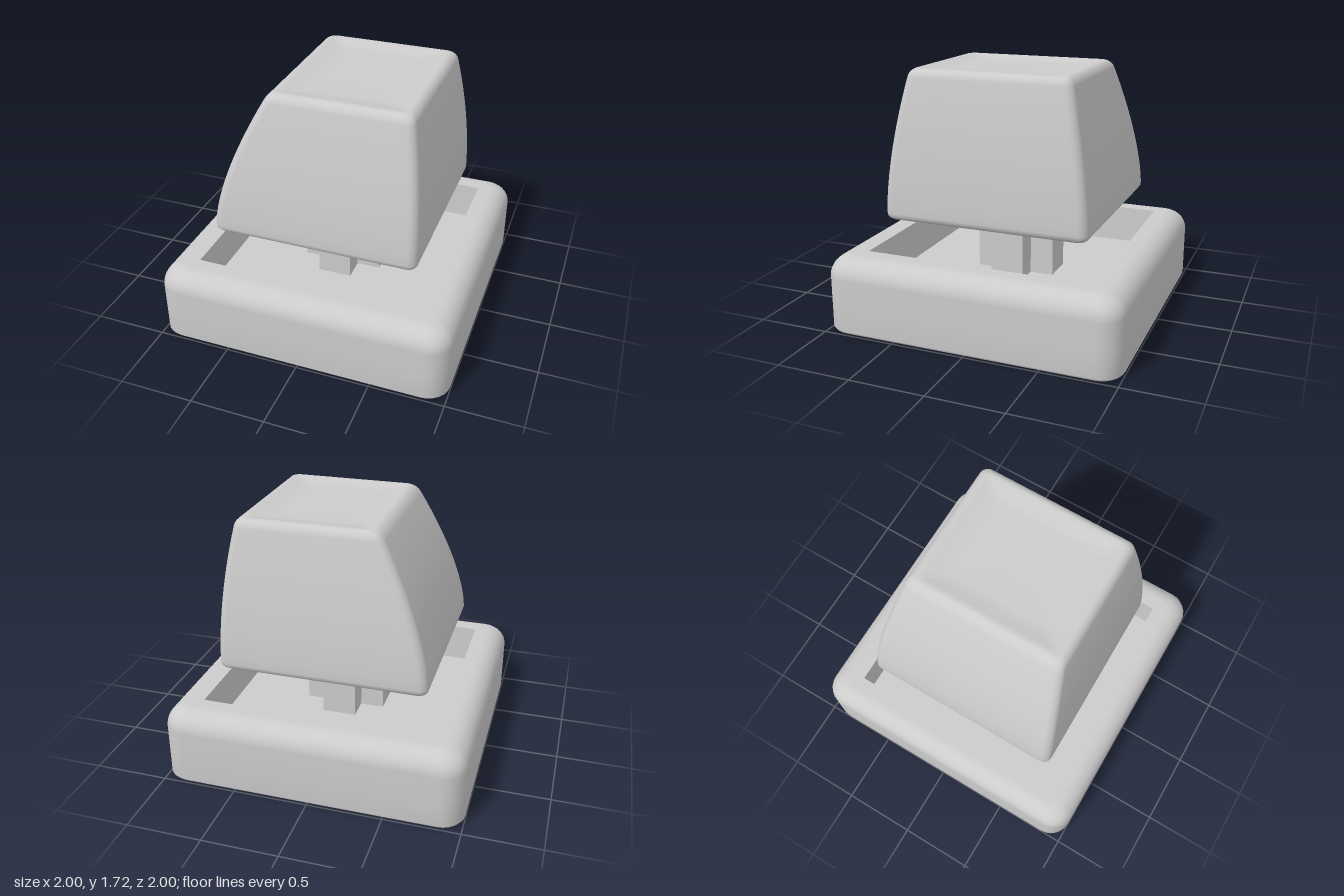
import * as THREE from 'three';

const material = (extra = {}) => new THREE.MeshStandardMaterial({ color: 0xcccccc, ...extra });

function addMesh(group, name, geometry, mat) {
  const mesh = new THREE.Mesh(geometry, mat);
  mesh.name = name;
  group.add(mesh);
}

// Rounded rectangle at height y, counterclockwise seen from above
function ring(x0, x1, z0, z1, r, y, arc = 6, side = 5) {
  const corners = [[x1 - r, z0 + r], [x0 + r, z0 + r], [x0 + r, z1 - r], [x1 - r, z1 - r]];
  const points = [];
  corners.forEach(([cx, cz], k) => {
    for (let i = 0; i <= arc; i++) {
      const a = (k + i / arc) * Math.PI / 2;
      points.push(new THREE.Vector3(cx + r * Math.cos(a), y, cz - r * Math.sin(a)));
    }
    const last = points[points.length - 1];
    const [nx, nz] = corners[(k + 1) % 4];
    const a = (k + 1) * Math.PI / 2;
    const next = new THREE.Vector3(nx + r * Math.cos(a), y, nz - r * Math.sin(a));
    for (let i = 1; i < side; i++) points.push(last.clone().lerp(next, i / side));
  });
  return points;
}

const squareRing = (half, r, y) => ring(-half, half, -half, half, r, y);

// Skin over successive rings, optionally closed at both ends
function loft(rings, capped = false) {
  const n = rings[0].length;
  const points = rings.flat();
  const index = [];
  for (let j = 0; j < rings.length - 1; j++) {
    for (let i = 0; i < n; i++) {
      const a = j * n + i, b = j * n + (i + 1) % n;
      index.push(a, b, b + n, a, b + n, a + n);
    }
  }
  if (capped) {
    const middle = (list) => list.reduce((s, p) => s.add(p), new THREE.Vector3()).divideScalar(n);
    const bottom = points.push(middle(rings[0])) - 1;
    const top = points.push(middle(rings[rings.length - 1])) - 1;
    const start = (rings.length - 1) * n;
    for (let i = 0; i < n; i++) {
      const k = (i + 1) % n;
      index.push(k, i, bottom, start + i, start + k, top);
    }
  }
  const geometry = new THREE.BufferGeometry().setFromPoints(points);
  geometry.setIndex(index);
  geometry.computeVertexNormals();
  return geometry;
}

// Plus-shaped outline shared by the stem and the hole under it
function plusPoints(l = 0.275, w = 0.115) {
  return [[w, l], [-w, l], [-w, w], [-l, w], [-l, -w], [-w, -w],
    [-w, -l], [w, -l], [w, -w], [l, -w], [l, w], [w, w]].map(([x, y]) => new THREE.Vector2(x, y));
}

function extrudeUp(shape, y, height) {
  const geometry = new THREE.ExtrudeGeometry(shape, { depth: height, bevelEnabled: false });
  return geometry.rotateX(-Math.PI / 2).translate(0, y, 0);
}

// Keycap: walls curve inwards by a different amount on each side
function keycapGeometry() {
  const y0 = 0.72, y1 = 1.715;
  const section = (y, inset, r) => {
    const t = Math.max(0, (y - 0.77) / (1.66 - 0.77));
    const left = -0.695 + 0.33 * t ** 1.5 + inset;
    const right = 0.695 - 0.087 * t ** 2 - inset;
    const depth = 0.695 - 0.138 * t ** 1.5 - inset;
    return ring(left, right, -depth, depth, r, y);
  };
  const rings = [section(y0, 0.14, 0.03), section(y0, 0.05, 0.03)];
  for (let i = 1; i <= 4; i++) { // rounded bottom edge
    const a = i / 4 * Math.PI / 2;
    rings.push(section(y0 + 0.05 * (1 - Math.cos(a)), 0.05 * (1 - Math.sin(a)), 0.04 + 0.005 * i));
  }
  for (let i = 1; i <= 14; i++) rings.push(section(0.77 + 0.89 * i / 14, 0, 0.06));
  for (let i = 1; i <= 5; i++) { // rounded top edge
    const a = i / 5 * Math.PI / 2;
    rings.push(section(1.66 + 0.055 * Math.sin(a), 0.045 * (1 - Math.cos(a)), 0.06 - 0.004 * i));
  }
  // shallow dish
  rings.push(section(y1 - 0.004, 0.075, 0.04), section(y1 - 0.018, 0.13, 0.04), section(y1 - 0.025, 0.2, 0.04));
  return loft(rings, true);
}

export function createModel() {
  const model = new THREE.Group();
  model.name = 'keycapOnSwitchBase';

  // Thin outer shell of the base, open below
  const shell = [squareRing(0.97, 0.13, 0), squareRing(0.985, 0.14, 0.006),
    squareRing(1, 0.15, 0.025), squareRing(1, 0.15, 0.2)];
  for (let i = 0; i <= 8; i++) {
    const a = i / 8 * Math.PI / 2;
    const half = 0.86 + 0.14 * Math.cos(a);
    shell.push(squareRing(half, 0.15 - (1 - half) * 0.7, 0.38 + 0.14 * Math.sin(a)));
  }
  shell.push(squareRing(0.775, 0.001, 0.52));
  addMesh(model, 'baseShell', loft(shell), material({ side: THREE.DoubleSide }));

  // Well walls and floor, with the plus-shaped hole
  addMesh(model, 'wellWalls', loft([squareRing(0.775, 0.001, 0.52), squareRing(0.763, 0.001, 0.2)]),
    material({ side: THREE.DoubleSide, flatShading: true }));
  const h = 0.764;
  const floor = new THREE.Shape([[-h, -h], [h, -h], [h, h], [-h, h]].map(([x, y]) => new THREE.Vector2(x, y)));
  floor.holes.push(new THREE.Path(plusPoints()));
  addMesh(model, 'wellFloor', extrudeUp(floor, 0.2, 0.06), material());

  // Stem and keycap
  addMesh(model, 'stem', extrudeUp(new THREE.Shape(plusPoints()), 0.26, 0.48), material());
  addMesh(model, 'keycap', keycapGeometry(), material());
  return model;
}
